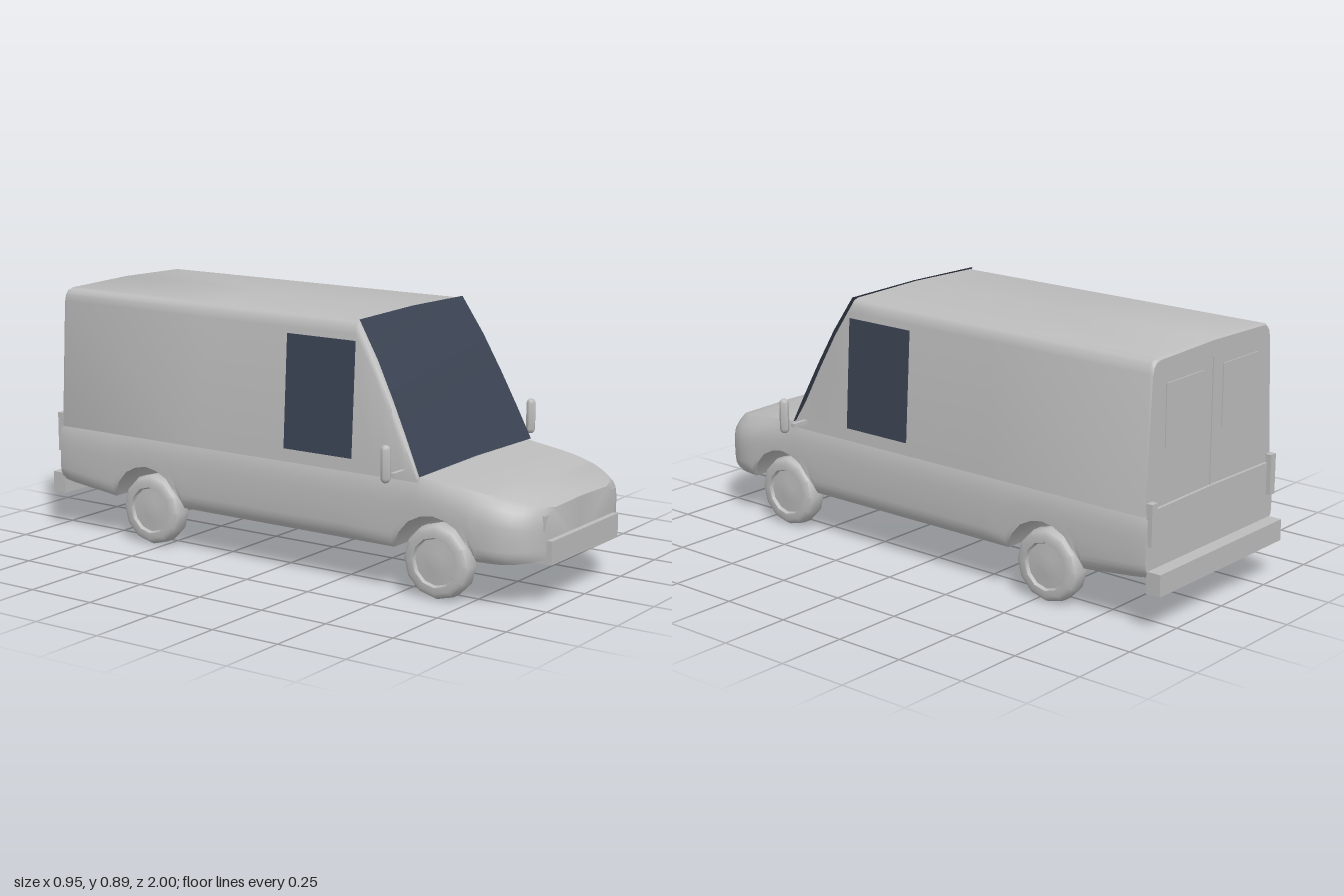
import * as THREE from 'three';
import { toCreasedNormals } from 'three/addons/utils/BufferGeometryUtils.js';

const paint = new THREE.MeshStandardMaterial({ color: 0xbcbcbc });
paint.name = 'grey paint';
const glass = new THREE.MeshStandardMaterial({ color: 0x3c4454, side: THREE.DoubleSide });
glass.name = 'dark glass';

// Piecewise-linear lookup in a list of [key, value] pairs, keys ascending
function lerp(table, k) {
  if (k <= table[0][0]) return table[0][1];
  for (let i = 1; i < table.length; i++) {
    const [k0, v0] = table[i - 1], [k1, v1] = table[i];
    if (k <= k1) return v0 + (v1 - v0) * (k - k0) / (k1 - k0);
  }
  return table[table.length - 1][1];
}

// Skin over mirrored half-sections, listed from back to front.
// Each half runs from bottom centre round the +x side to top centre.
function loft(sections) {
  const pos = [], idx = [];
  let n = 0;
  for (const { z, half } of sections) {
    const ring = [...half, ...half.slice(1, -1).reverse().map(([x, y]) => [-x, y])];
    n = ring.length;
    for (const [x, y] of ring) pos.push(x, y, z);
  }
  for (let i = 0; i < sections.length - 1; i++) {
    for (let j = 0; j < n; j++) {
      const a = i * n + j, b = i * n + (j + 1) % n;
      idx.push(a, b, b + n, a, b + n, a + n);
    }
  }
  const last = (sections.length - 1) * n;
  for (let j = 1; j < n - 1; j++) {
    idx.push(0, j + 1, j);
    idx.push(last, last + j, last + j + 1);
  }
  const g = new THREE.BufferGeometry();
  g.setAttribute('position', new THREE.Float32BufferAttribute(pos, 3));
  g.setIndex(idx);
  return toCreasedNormals(g, 0.6);
}

// Lower body: underside with two wheel arches, bonnet line, plan outline
const AXLES = [-0.545, 0.64];
const ARCH = [[-0.155, 0], [-0.125, 0.06], [-0.09, 0.1], [-0.045, 0.122], [0, 0.13],
  [0.045, 0.122], [0.09, 0.1], [0.125, 0.06], [0.155, 0]];
const UNDER = [[-0.95, 0.185], [-0.7, 0.157], [0.9, 0.155], [0.98, 0.165]];
const TOP = [[0.58, 0.4], [0.75, 0.382], [0.88, 0.358], [0.95, 0.34], [0.98, 0.325]];
const PLAN = [[-0.95, 0.358], [-0.9, 0.365], [0.8, 0.365], [0.86, 0.356], [0.91, 0.335],
  [0.95, 0.3], [0.97, 0.262], [0.98, 0.22]];
const ROUND = [[0.58, 0.05], [0.8, 0.13], [0.98, 0.22]];

function lowerBody() {
  const zs = [-0.95, -0.9, -0.3, 0, 0.3, 0.58, 0.83, 0.86, 0.88, 0.91, 0.93, 0.95, 0.96, 0.97, 0.98];
  for (const c of AXLES) for (const [d] of ARCH) zs.push(c + d);
  zs.sort((a, b) => a - b);
  return loft(zs.map((z) => {
    const base = lerp(UNDER, z), top = lerp(TOP, z), w = lerp(PLAN, z);
    const axle = AXLES.find((c) => Math.abs(z - c) < 0.156);
    const bottom = base + (axle === undefined ? 0 : lerp(ARCH, z - axle));
    const half = [[0, bottom]];
    for (const s of [0, 0.06, 0.14, 0.22, 0.45, 0.6, 0.74, 0.86, 0.95, 1]) {
      const y = bottom + (top - bottom) * s, u = (y - base) / (top - base);
      const tuckTop = lerp(ROUND, z) * Math.max(0, (u - 0.5) / 0.5) ** 3;
      const tuckSill = 0.06 * Math.max(0, (0.22 - u) / 0.22) ** 2;
      half.push([w * (1 - tuckTop - tuckSill), y]);
    }
    half.push([0, top + 0.004]);
    return { z, half };
  }));
}

// Upper body: tall box with tapering sides and a raked screen
const SCREEN = [[0.32, 0.88], [0.4, 0.755], [0.47, 0.625], [0.53, 0.505], [0.58, 0.4]];
const sideX = (y) => 0.357 - 0.06 * (y - 0.385);

function upperBody() {
  const zs = [-0.94, -0.93, -0.3, 0.2, ...SCREEN.map(([z]) => z)];
  return loft(zs.map((z) => {
    const t = z < -0.935 ? 0.874 : lerp(SCREEN, z);
    const inset = z < -0.935 ? 0.005 : 0;
    const k = Math.min(1, (t - 0.385) / 0.1);
    const edge = (drop, tuck) => [sideX(t - drop * k) - tuck * k - inset, t - drop * k];
    return { z, half: [[0, 0.385], [sideX(0.385) - inset, 0.385], edge(0.045, 0),
      edge(0.02, 0.005), edge(0.006, 0.016), edge(0, 0.034), [0, t + 0.007]] };
  }));
}

// Windscreen: sheet following the raked front
function windscreen() {
  const g = new THREE.PlaneGeometry(2, 1, 4, SCREEN.length - 1);
  const p = g.attributes.position;
  for (let i = 0; i < p.count; i++) {
    const u = p.getX(i), row = Math.round((0.5 - p.getY(i)) * (SCREEN.length - 1));
    const [z, y] = SCREEN[row];
    const half = 0.355 - 0.04 * (y - 0.4) / 0.48;
    p.setXYZ(i, u * half, y + 0.003 + 0.006 * (1 - Math.abs(u)), z + 0.006);
  }
  g.computeVertexNormals();
  return g;
}

function wheelGeometry() {
  const profile = [[0, -0.04], [0.1, -0.04], [0.118, -0.033], [0.125, -0.018], [0.125, 0.018],
    [0.118, 0.033], [0.104, 0.04], [0.083, 0.04], [0.078, 0.028], [0.03, 0.031], [0, 0.035]];
  const g = new THREE.LatheGeometry(profile.map(([r, y]) => new THREE.Vector2(r, y)), 12);
  return toCreasedNormals(g, 0.7);
}

export function createModel() {
  const van = new THREE.Group();
  van.name = 'van';
  const add = (name, geometry, material = paint, x = 0, y = 0, z = 0) => {
    const m = new THREE.Mesh(geometry, material);
    m.name = name;
    m.position.set(x, y, z);
    van.add(m);
    return m;
  };
  const box = (name, w, h, d, x, y, z, material = paint) =>
    add(name, new THREE.BoxGeometry(w, h, d), material, x, y, z);

  add('lowerBody', lowerBody());
  add('upperBody', upperBody());
  add('windscreen', windscreen(), glass);

  // Bumpers
  box('frontBumper', 0.444, 0.078, 0.1, 0, 0.187, 0.949);
  box('rearBumper', 0.69, 0.074, 0.055, 0, 0.17, -0.9715);

  // Rear doors
  box('doorSeam', 0.006, 0.5, 0.006, 0, 0.58, -0.941);

  const wheel = wheelGeometry();
  const mirrorShell = toCreasedNormals(new THREE.CapsuleGeometry(0.0165, 0.092, 3, 8), 0.7);
  for (const s of [1, -1]) {
    const side = s > 0 ? 'left' : 'right';

    for (const z of AXLES) {
      add(side + (z > 0 ? 'FrontWheel' : 'RearWheel'), wheel, paint, s * 0.309, 0.127, z)
        .rotation.z = -s * Math.PI / 2;
    }

    // Cab window lying on the sloped side
    const win = box(side + 'Window', 0.006, 0.386, 0.272, s * (sideX(0.622) + 0.001), 0.622, 0.186, glass);
    win.rotation.z = s * Math.atan(0.06);

    // Mirror and its arm
    add(side + 'Mirror', mirrorShell, paint, s * 0.458, 0.458, 0.525);
    box(side + 'MirrorArm', 0.075, 0.013, 0.016, s * 0.382, 0.414, 0.525);

    // Headlamp with a slim indicator wrapping the corner
    box(side + 'Headlamp', 0.05, 0.05, 0.04, s * 0.212, 0.282, 0.958);
    const indicator = box(side + 'Indicator', 0.075, 0.018, 0.03, s * 0.265, 0.293, 0.937);
    indicator.rotation.y = s * 0.6;

    // Rear lamp and rear door pane
    box(side + 'RearLamp', 0.028, 0.14, 0.022, s * 0.335, 0.36, -0.955);
    box(side + 'RearPane', 0.2, 0.21, 0.006, s * 0.155, 0.69, -0.941);
  }
  return van;
}
